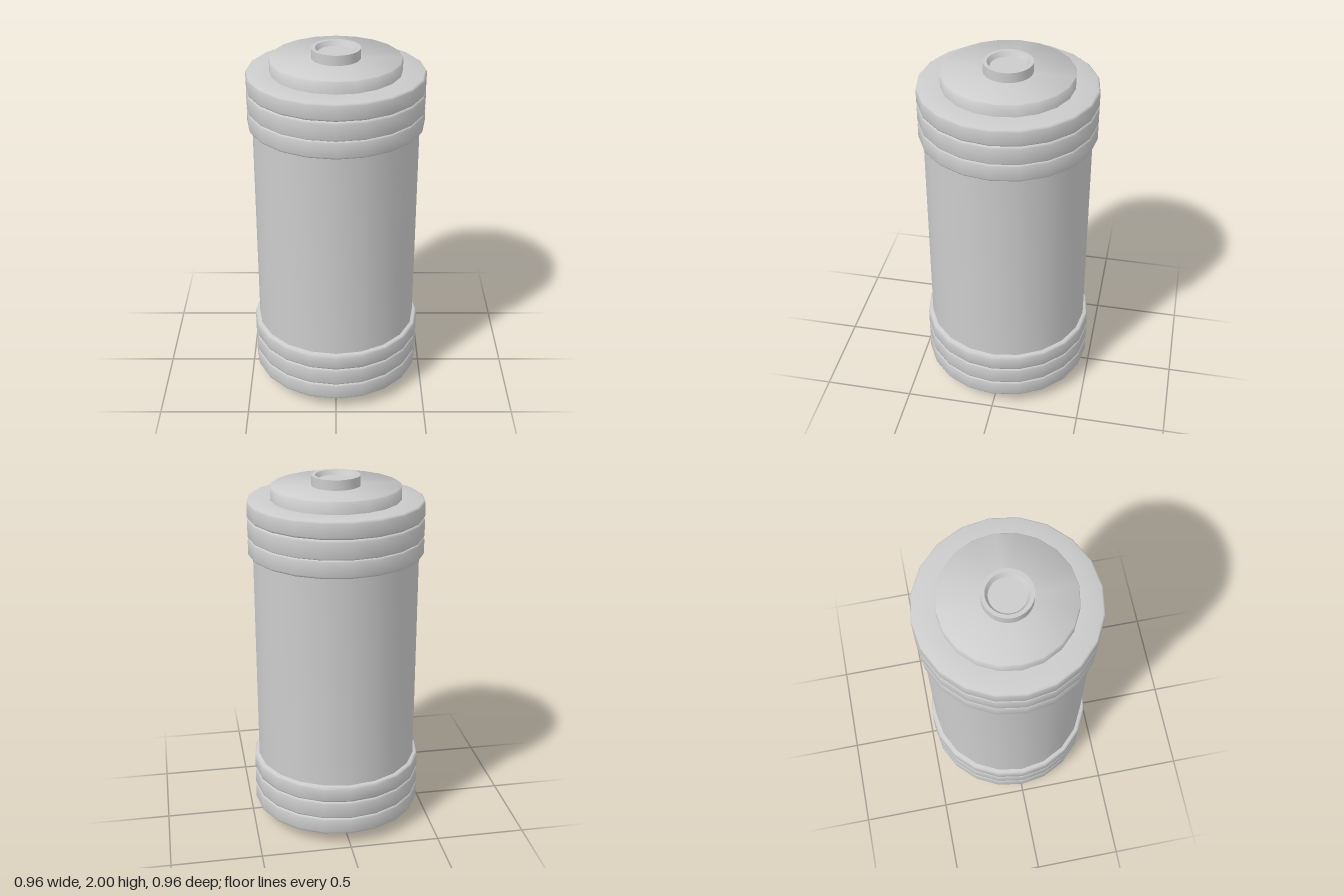
import * as THREE from 'three';
import { toCreasedNormals } from 'three/addons/utils/BufferGeometryUtils.js';

const SIDES = 20;
const material = new THREE.MeshStandardMaterial({ color: 0xcccccc });

// Turned part from [radius, height] points, listed from bottom to top
function turned(name, points, sides = SIDES) {
  const profile = points.map(([r, y]) => new THREE.Vector2(r, y));
  const geometry = toCreasedNormals(new THREE.LatheGeometry(profile, sides), 0.87);
  const mesh = new THREE.Mesh(geometry, material);
  mesh.name = name;
  return mesh;
}

// Three stacked bands with rounded edges
function bandStack(name, heights) {
  const points = [[0.34, heights[0]]];
  for (let i = 0; i < 3; i++) {
    const low = heights[i], high = heights[i + 1];
    points.push(
      [0.468, low], [0.475, low + 0.004], [0.478, low + 0.012],
      [0.478, high - 0.012], [0.475, high - 0.004], [0.468, high]
    );
  }
  points.push([0.34, heights[3]]);
  return turned(name, points);
}

export function createModel() {
  const model = new THREE.Group();
  model.name = 'batteryCell';

  // Main cylinder, its ends hidden in the bands
  model.add(turned('body', [[0.452, 0.3], [0.452, 1.65]]));

  // Ribbed collars at both ends
  model.add(bandStack('lowerBands', [0.073, 0.172, 0.277, 0.372]));
  model.add(bandStack('upperBands', [1.578, 1.675, 1.782, 1.877]));

  // Stepped end plates
  model.add(turned('upperPlate', [[0.352, 1.86], [0.352, 1.942], [0.349, 1.945], [0, 1.945]]));
  // Lower plate with a round socket
  model.add(turned('lowerPlate', [
    [0, 0.05], [0.128, 0.05], [0.128, 0], [0.349, 0], [0.352, 0.003], [0.352, 0.09]
  ]));

  // Terminal with a dished top
  model.add(turned('terminal', [
    [0.131, 1.93], [0.131, 2], [0.11, 2], [0.095, 1.975], [0, 1.975]
  ], 48));

  return model;
}
